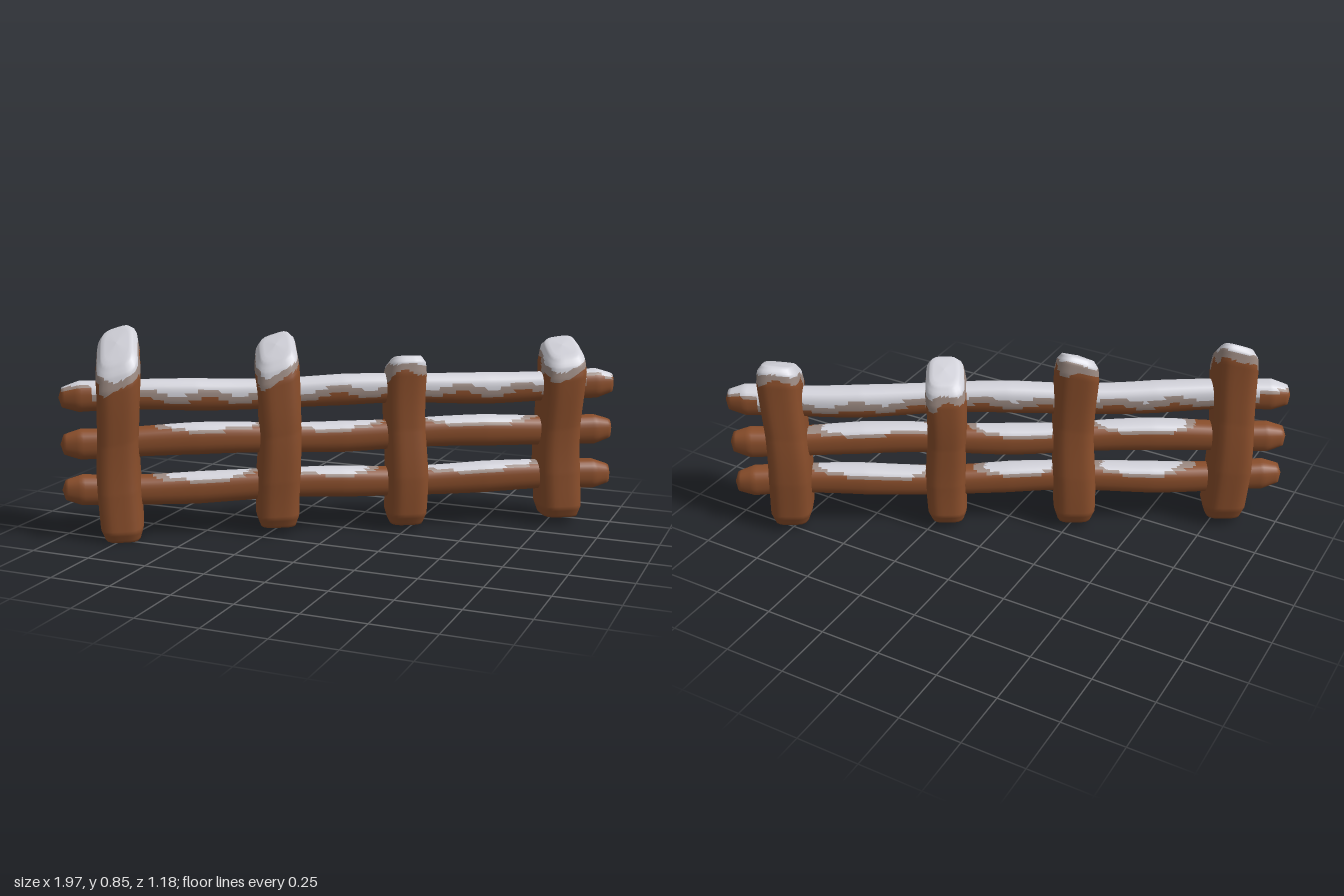
import * as THREE from 'three';

const wood = new THREE.MeshStandardMaterial({ color: 0x8a4e2b });
wood.name = 'brown wood';
const frost = new THREE.MeshStandardMaterial({ color: 0x9c8a82 });
frost.name = 'thin frost';
const snow = new THREE.MeshStandardMaterial({ color: 0xd2d2da });
snow.name = 'snow';
const MATERIALS = [wood, frost, snow];

// smooth blotchy variation, about -1..1
const blotch = (a, b, seed) =>
  0.5 * Math.sin(a * 23 + seed * 1.7) * Math.cos(b * 31 + seed) + 0.5 * Math.sin(a * 41 - b * 27 + seed * 2.3);

// rounded-rectangle cross-section point on a unit outline
function outline(angle, power) {
  const c = Math.cos(angle), s = Math.sin(angle);
  const r = Math.pow(Math.abs(c) ** power + Math.abs(s) ** power, -1 / power);
  return [c * r, s * r];
}

// piecewise-linear lookup in [[t, value], ...]
function lookup(profile, t) {
  for (let i = 1; i < profile.length; i++) {
    const [t0, v0] = profile[i - 1], [t1, v1] = profile[i];
    if (t <= t1) return v0 + (v1 - v0) * (t - t0) / (t1 - t0);
  }
  return profile[profile.length - 1][1];
}

// closed skin over rings; paint(centre, normal) picks the material of each triangle
function skin(name, around, rings, point, paint) {
  const positions = [], buckets = [[], [], []];
  for (let j = 0; j <= rings; j++)
    for (let i = 0; i < around; i++) positions.push(...point((i / around) * Math.PI * 2, j / rings));
  const vertex = (i) => new THREE.Vector3().fromArray(positions, i * 3);
  const add = (a, b, c) => {
    const tri = new THREE.Triangle(vertex(a), vertex(b), vertex(c));
    if (tri.getArea() < 1e-9) return;
    const m = paint(tri.getMidpoint(new THREE.Vector3()), tri.getNormal(new THREE.Vector3()));
    buckets[m].push(a, b, c);
  };
  for (let j = 0; j < rings; j++)
    for (let i = 0; i < around; i++) {
      const a = j * around + i, b = j * around + (i + 1) % around;
      add(a, a + around, b);
      add(b, a + around, b + around);
    }
  const geometry = new THREE.BufferGeometry();
  geometry.setAttribute('position', new THREE.Float32BufferAttribute(positions, 3));
  geometry.setIndex(buckets.flat());
  let start = 0;
  buckets.forEach((bucket, m) => {
    geometry.addGroup(start, bucket.length, m);
    start += bucket.length;
  });
  geometry.computeVertexNormals();
  const mesh = new THREE.Mesh(geometry, MATERIALS);
  mesh.name = name;
  return mesh;
}

// upright post with a slanted, snow-capped top
function makePost({ x, top, slopeZ, slopeX, foot, footSlope, width, depth }, seed) {
  const size = [[0, 0], [0.05, 0.82], [0.1, 0.98], [0.3, 1], [0.55, 0.95], [0.84, 1], [0.91, 0.92], [0.95, 0.7], [1, 0]];
  const rise = [[0, 0], [0.05, 0], [0.1, 0.06], [0.84, 0.89], [0.91, 0.96], [0.95, 1], [1, 1.01]];
  const topAt = (px, pz) => top + slopeZ * pz + slopeX * px;
  const point = (angle, t) => {
    const [c, s] = outline(angle, 4);
    const k = lookup(size, t), bend = 0.006 * Math.sin(t * 7 + seed * 2);
    const px = c * k * width / 2, pz = s * k * depth / 2;
    const y0 = foot + footSlope * pz, y1 = topAt(px, pz);
    return [px + bend, y0 + (y1 - y0) * lookup(rise, t), pz + bend];
  };
  const paint = (p, n) => {
    const below = topAt(p.x, p.z) - p.y, b = blotch(p.x + p.z, p.y, seed);
    if (n.y < -0.2 || p.y < 0.5) return 0;
    if (n.y > 0.35 || below < 0.035 + 0.015 * b) return 2;
    return below < 0.075 + 0.03 * b ? 1 : 0;
  };
  const post = skin('post', 32, 80, point, paint);
  post.position.x = x;
  return post;
}

// long rail with tapered ends; the top one is covered, the others have patches
function makeRail(y, covered, seed) {
  const HALF = 1.13;
  const size = [[0, 0], [0.006, 0.62], [0.035, 0.95], [0.1, 0.9], [0.24, 1], [0.39, 0.92], [0.5, 0.98],
    [0.61, 0.9], [0.76, 1], [0.9, 0.9], [0.965, 0.95], [0.994, 0.62], [1, 0]];
  const patches = [[-0.55, 0.17], [-0.05, 0.16], [0.55, 0.22]];
  const point = (angle, t) => {
    const [c, s] = outline(angle, 2.6), k = lookup(size, t);
    const sway = 0.006 * Math.sin(t * 14 + seed * 2.1);
    return [(t * 2 - 1) * HALF, y + c * k * 0.064 + sway, -s * k * 0.058 + sway * 0.6];
  };
  const paint = (p, n) => {
    const b = blotch(p.x * 0.6, p.z, seed);
    let score;
    if (covered) score = n.y + 0.2 + 0.25 * b - (Math.abs(p.x) > 1 ? 0.55 : 0);
    else {
      const spread = Math.min(...patches.map(([c, r]) => ((p.x - c) / r) ** 2));
      score = n.y - 0.2 - 0.45 * spread + 0.15 * b;
    }
    return score > 0.32 ? 2 : score > 0.08 ? 1 : 0;
  };
  return skin('rail', 28, 170, point, paint);
}

export function createModel() {
  const model = new THREE.Group();
  model.name = 'snowyFence';
  const fence = new THREE.Group();
  fence.name = 'fence';

  const posts = [
    { x: -0.9, top: 0.785, slopeZ: -0.75, slopeX: 0.3, foot: 0.02, footSlope: -0.18, width: 0.175, depth: 0.22 },
    { x: -0.265, top: 0.765, slopeZ: -0.5, slopeX: 0.3, foot: 0.035, footSlope: 0.03, width: 0.175, depth: 0.22 },
    { x: 0.255, top: 0.705, slopeZ: 0.32, slopeX: 0, foot: 0.032, footSlope: -0.03, width: 0.165, depth: 0.215 },
    { x: 0.9, top: 0.74, slopeZ: -0.4, slopeX: 0.12, foot: 0.035, footSlope: 0.05, width: 0.175, depth: 0.22 },
  ];
  posts.forEach((post, i) => fence.add(makePost(post, i + 1)));

  [0.2, 0.395, 0.58].forEach((y, i) => fence.add(makeRail(y, i === 2, i + 1)));

  // the fence runs diagonally
  fence.rotation.y = Math.PI / 6;
  model.add(fence);
  return model;
}
